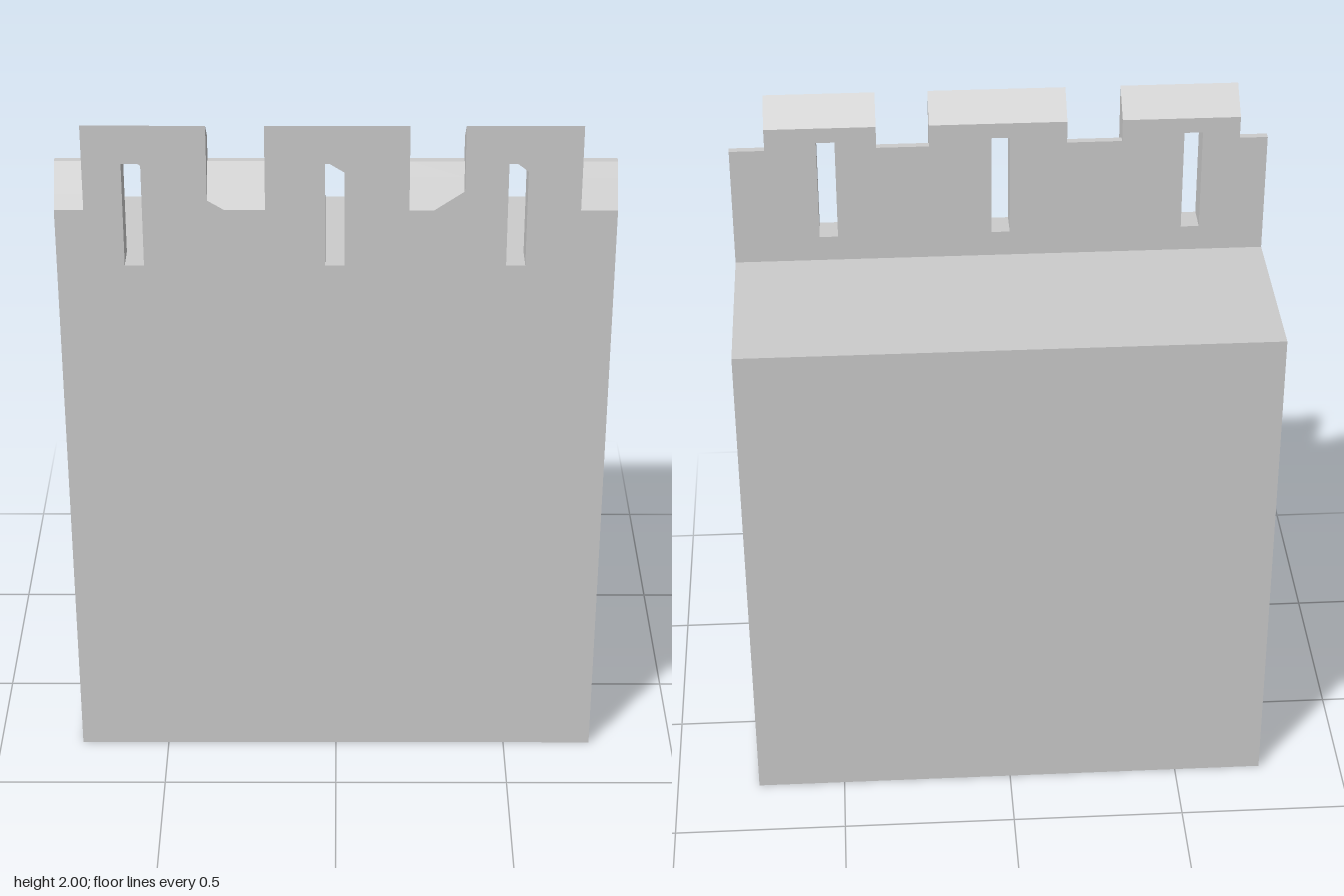
import * as THREE from 'three';

const HALF_W = 0.756, FRONT = 0.302, BACK = -0.302, LEDGE = 1.515;
const WALL_BACK = 0.218, TOP = 2, CRENEL = 1.87;
const MERLONS = [[-0.677, -0.345], [-0.19, 0.197], [0.345, 0.657]];
const SLITS = [-0.546, -0.003, 0.487]; // slit centres

function parapetGeometry() {
  // Crenellated outline, walked counter-clockwise
  const outline = new THREE.Shape();
  outline.moveTo(-HALF_W, LEDGE);
  outline.lineTo(HALF_W, LEDGE);
  outline.lineTo(HALF_W, CRENEL);
  for (const [l, r] of [...MERLONS].reverse()) {
    outline.lineTo(r, CRENEL);
    outline.lineTo(r, TOP);
    outline.lineTo(l, TOP);
    outline.lineTo(l, CRENEL);
  }
  outline.lineTo(-HALF_W, CRENEL);
  outline.closePath();

  // Arrow slits
  for (const x of SLITS) {
    const a = x - 0.026, b = x + 0.026;
    outline.holes.push(new THREE.Path([
      new THREE.Vector2(a, 1.59), new THREE.Vector2(a, 1.89),
      new THREE.Vector2(b, 1.89), new THREE.Vector2(b, 1.59),
    ]));
  }

  const depth = FRONT - WALL_BACK;
  const geo = new THREE.ExtrudeGeometry(outline, { depth, steps: 4, bevelEnabled: false });

  // Merlon tops slope down to the back; gaps have a flat lip, then slope to the front
  const pos = geo.attributes.position;
  for (let i = 0; i < pos.count; i++) {
    const y = pos.getY(i), t = pos.getZ(i) / depth;
    if (Math.abs(y - TOP) < 1e-3) pos.setY(i, TOP - 0.065 * (1 - t));
    if (Math.abs(y - CRENEL) < 1e-3) pos.setY(i, CRENEL - 0.115 * Math.max(0, (t - 0.25) / 0.75));
  }
  geo.translate(0, 0, WALL_BACK);
  geo.computeVertexNormals();
  return geo;
}

export function createModel() {
  const model = new THREE.Group();
  model.name = 'battlementWall';
  const stone = new THREE.MeshStandardMaterial({ color: 0xcccccc });

  // Solid wall with the walkway on top
  const wall = new THREE.Mesh(new THREE.BoxGeometry(HALF_W * 2, LEDGE, FRONT - BACK), stone);
  wall.position.set(0, LEDGE / 2, (FRONT + BACK) / 2);
  wall.name = 'wallBody';

  // Parapet with merlons and slits along the front edge
  const parapet = new THREE.Mesh(parapetGeometry(), stone);
  parapet.name = 'parapet';

  model.add(wall, parapet);
  return model;
}
